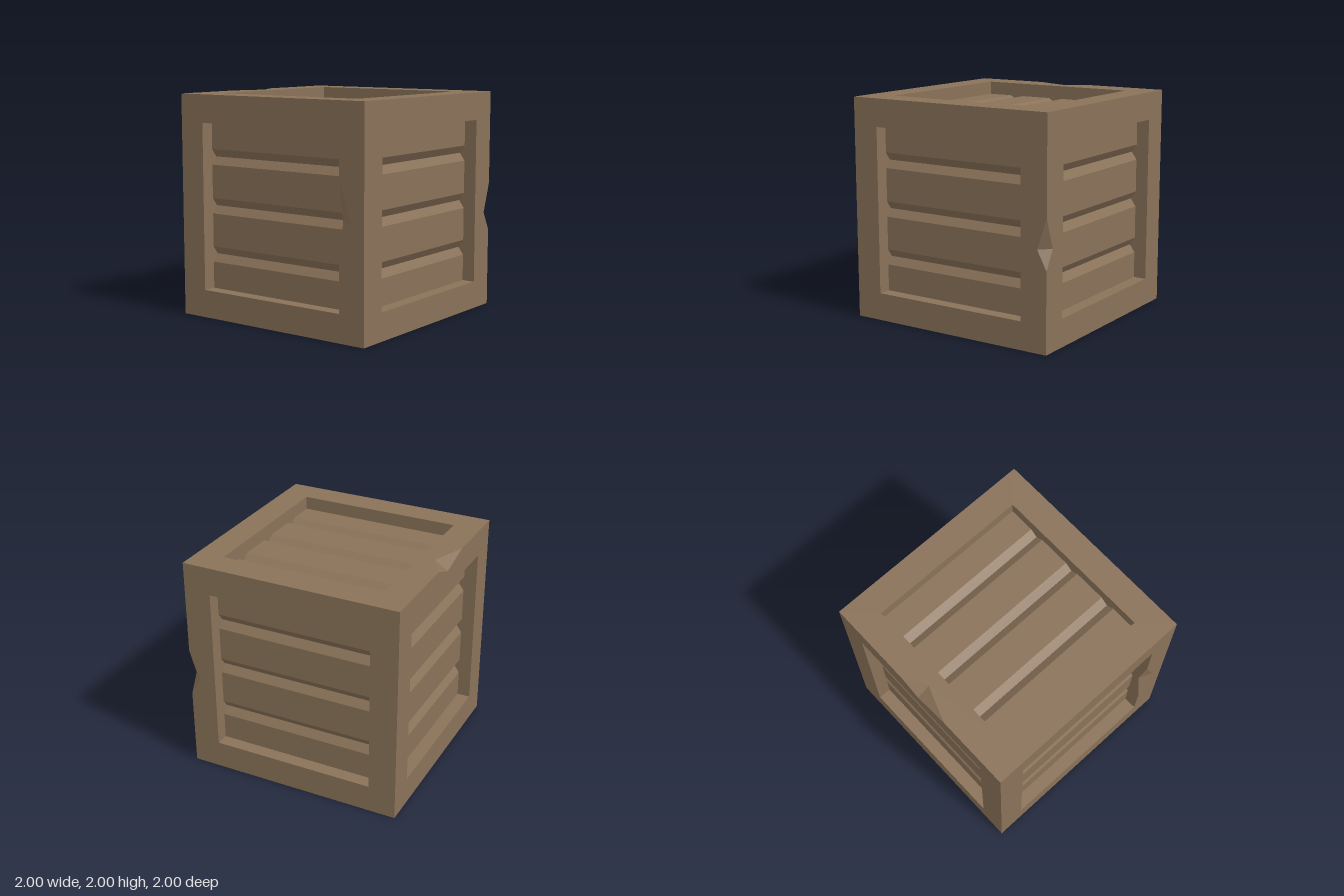
import * as THREE from 'three';

const INNER = 0.75;      // half size of each opening
const RECESS = 0.12;     // depth of the plank panels below the frame
const GROOVE = 0.05;     // depth of the V grooves between planks
const GROOVE_HALF = 0.07;

const wood = new THREE.MeshStandardMaterial({ color: 0x8a7259, flatShading: true, side: THREE.DoubleSide });

function addMesh(parent, name, geometry) {
  const mesh = new THREE.Mesh(geometry, wood);
  mesh.name = name;
  parent.add(mesh);
  return mesh;
}

// Square outline, counter-clockwise; notches[side] adds points after corner 0 bottom, 1 right, 2 top, 3 left
function squareOutline(half, notches = {}) {
  const corners = [[-half, -half], [half, -half], [half, half], [-half, half]];
  return corners.flatMap((corner, side) => [corner, ...(notches[side] || [])])
    .map(([x, y]) => new THREE.Vector2(x, y));
}

// Flat frame with a square opening
function frameGeometry(outerNotches, innerNotches) {
  const shape = new THREE.Shape(squareOutline(1, outerNotches));
  shape.holes.push(new THREE.Path(squareOutline(INNER, innerNotches).reverse()));
  return new THREE.ShapeGeometry(shape).translate(0, 0, 1);
}

// One side wall of the opening, reaching down to the groove bottoms
function wallGeometry(side, chipped) {
  const depth = RECESS + GROOVE;
  const points = [[-INNER, -depth], [INNER, -depth], [INNER, 0]];
  if (chipped) points.push([0.365, 0], [0, -0.055], [-0.365, 0]);
  points.push([-INNER, 0]);
  const shape = new THREE.Shape(points.map(([x, y]) => new THREE.Vector2(x, y)));
  const stand = new THREE.Matrix4().makeBasis(
    new THREE.Vector3(-1, 0, 0), new THREE.Vector3(0, 0, 1), new THREE.Vector3(0, 1, 0));
  return new THREE.ShapeGeometry(shape)
    .applyMatrix4(stand)
    .translate(0, -INNER, 1)
    .rotateZ(side * Math.PI / 2);
}

// Plank panel: a plane whose rows follow a profile with three V grooves
function panelGeometry() {
  const profile = [[INNER, 0]];
  for (const c of [0.44, 0, -0.44]) {
    profile.push([c + GROOVE_HALF, 0], [c, -GROOVE], [c - GROOVE_HALF, 0]);
  }
  profile.push([-INNER, 0]);
  const geometry = new THREE.PlaneGeometry(2 * INNER, 2 * INNER, 1, profile.length - 1);
  const pos = geometry.attributes.position;
  for (let i = 0; i < pos.count; i++) {
    const [y, z] = profile[Math.floor(i / 2)];
    pos.setY(i, y);
    pos.setZ(i, 1 - RECESS + z);
  }
  geometry.computeVertexNormals();
  return geometry;
}

// Two facets closing a chip that runs from a to b, with p and q on the adjoining faces
function chipGeometry(a, b, p, q) {
  const geometry = new THREE.BufferGeometry();
  geometry.setAttribute('position', new THREE.Float32BufferAttribute([a, p, q, b, q, p].flat(), 3));
  geometry.computeVertexNormals();
  return geometry;
}

export function createModel() {
  const crate = new THREE.Group();
  crate.name = 'crate';
  const quarter = Math.PI / 2;

  // Six sides, each made facing +z and then turned into place
  const sides = [
    { name: 'front', outer: { 1: [[1, -0.29], [0.91, -0.12], [1, 0.15]] } },
    { name: 'plusXSide', ry: quarter, outer: { 3: [[-1, 0.15], [-0.905, -0.12], [-1, -0.29]] } },
    { name: 'back', ry: 2 * quarter, outer: { 2: [[0.32, 1], [0, 0.92], [-0.21, 1]] } },
    { name: 'minusXSide', ry: -quarter, inner: { 1: [[INNER, -0.365], [0.875, 0], [INNER, 0.365]] } },
    { name: 'top', rx: -quarter, upright: true, outer: { 2: [[0.21, 1], [0, 0.88], [-0.32, 1]] } },
    { name: 'bottom', rx: quarter, upright: true },
  ];
  for (const { name, rx = 0, ry = 0, upright, outer, inner } of sides) {
    const side = new THREE.Group();
    side.name = name;
    addMesh(side, 'frame', frameGeometry(outer, inner));
    for (let k = 0; k < 4; k++) {
      addMesh(side, 'openingWall', wallGeometry(k, Boolean(inner && inner[k])));
    }
    const panel = addMesh(side, 'plankPanel', panelGeometry());
    if (upright) panel.rotation.z = quarter;
    side.rotation.set(rx, ry, 0);
    side.position.y = 1;
    crate.add(side);
  }

  // Chips in the wood
  addMesh(crate, 'cornerChip', chipGeometry([1, 1.15, 1], [1, 0.71, 1], [0.91, 0.88, 1], [1, 0.88, 0.905]));
  addMesh(crate, 'topEdgeChip', chipGeometry([-0.32, 2, -1], [0.21, 2, -1], [0, 2, -0.88], [0, 1.92, -1]));
  addMesh(crate, 'openingChip',
    chipGeometry([-1, 1.365, 0.75], [-1, 0.635, 0.75], [-0.945, 1, 0.75], [-1, 1, 0.875]));

  return crate;
}
